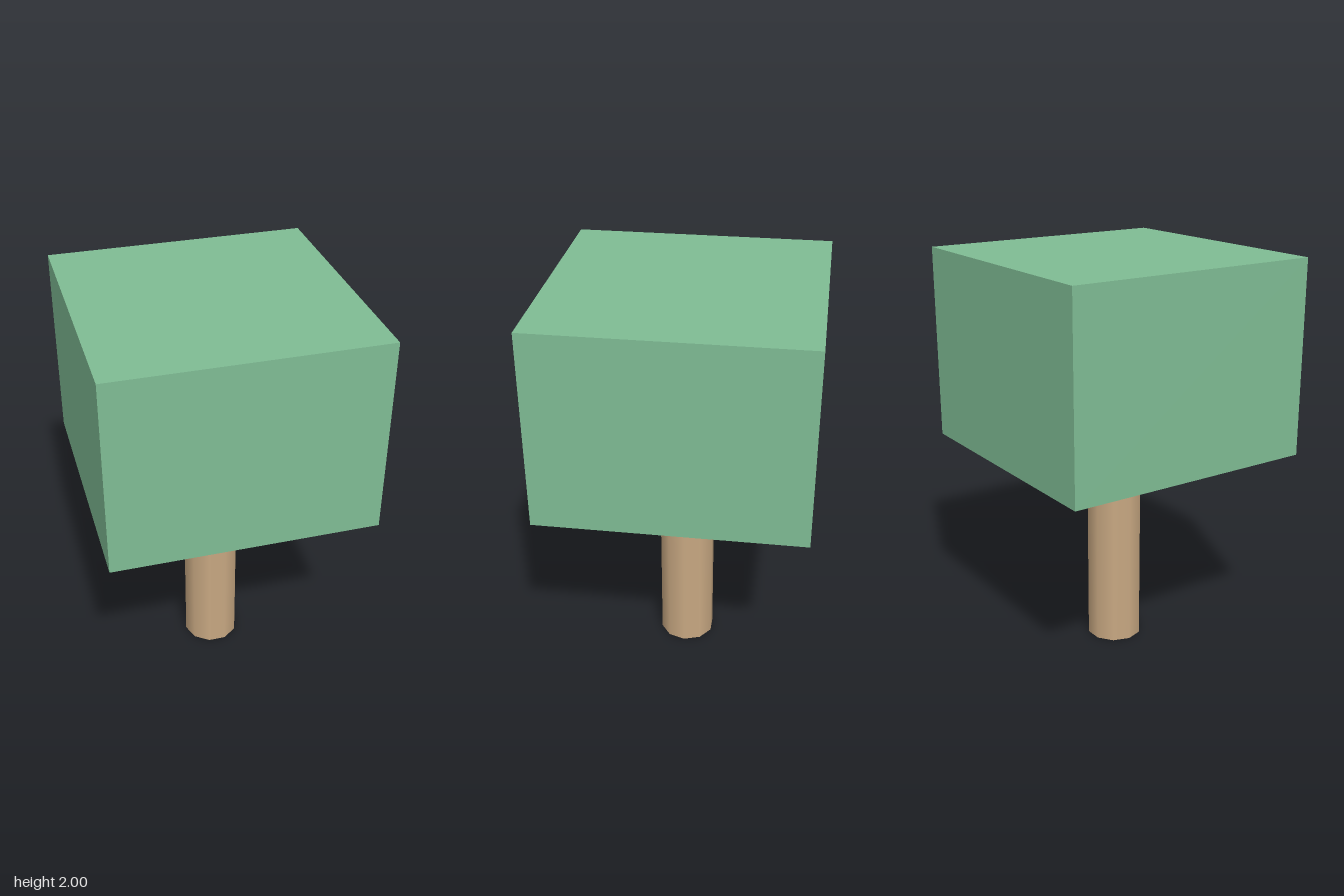
import * as THREE from 'three';

export function createModel() {
  const model = new THREE.Group();
  model.name = 'tree';

  const addPart = (name, geometry, color, y) => {
    const mesh = new THREE.Mesh(geometry, new THREE.MeshStandardMaterial({ color }));
    mesh.name = name;
    mesh.position.y = y;
    model.add(mesh);
  };

  // Ten-sided smooth trunk, corners on the x axis
  const trunkHeight = 1.04;
  const trunk = new THREE.CylinderGeometry(0.14, 0.14, trunkHeight, 10, 1, false, Math.PI / 2);
  addPart('trunk', trunk, 0xc8a882, trunkHeight / 2);

  // Block of foliage resting on the trunk
  const crownHeight = 2 - trunkHeight;
  const crown = new THREE.BoxGeometry(1.28, crownHeight, 1.28);
  addPart('foliage', crown, 0x7fbc94, trunkHeight + crownHeight / 2);

  return model;
}
